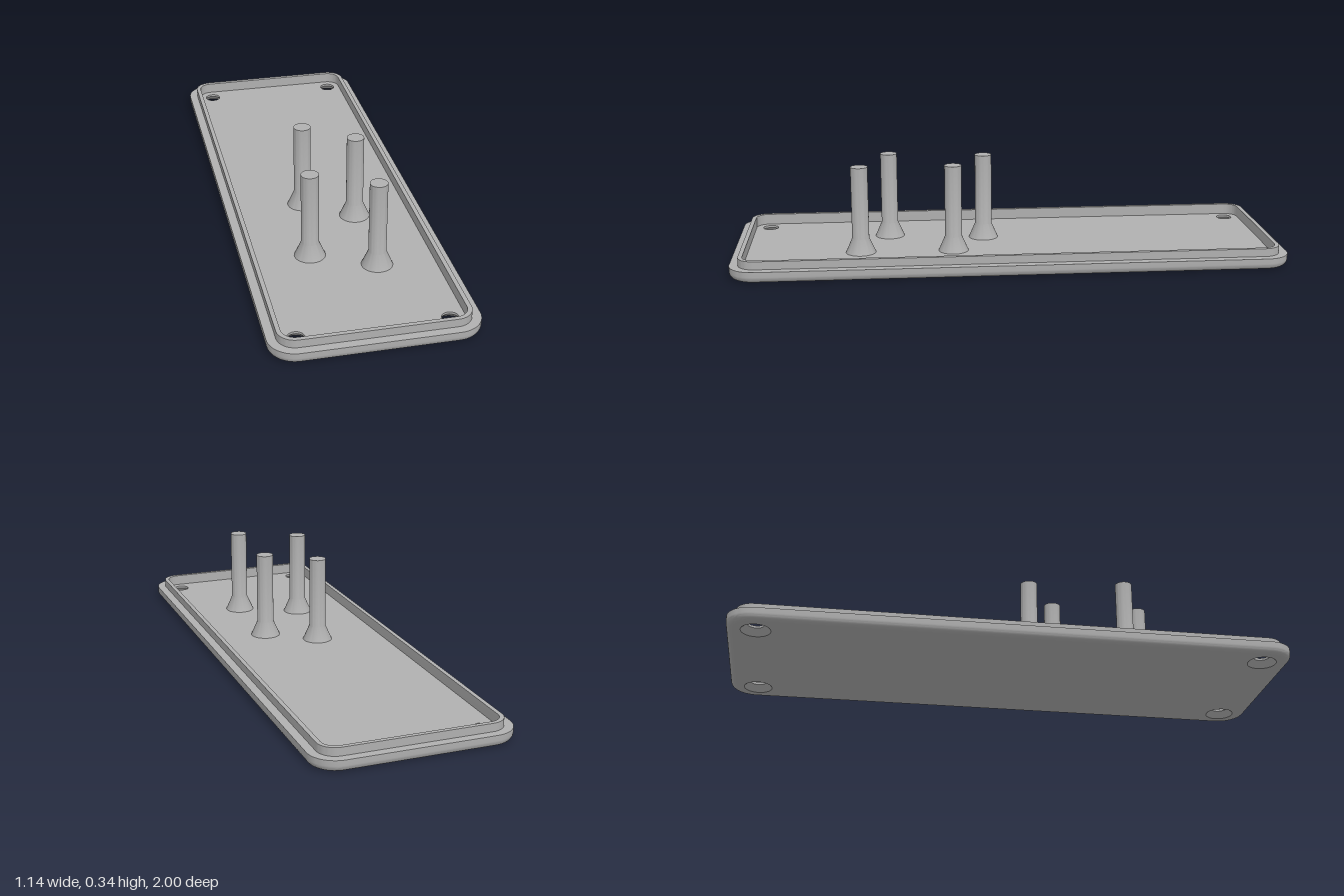
import * as THREE from 'three';
import { toCreasedNormals } from 'three/addons/utils/BufferGeometryUtils.js';

const A = 0.25, B = 0.875, R = 0.09;      // corner centres and outer corner radius
const HOLE_X = 0.246, HOLE_Z = 0.867;     // screw hole centres
const FLOOR = 0.03, RIM = 0.068, LEDGE = 0.04;
const TILT = -THREE.MathUtils.degToRad(15.9);
const CORNERS = [[1, 1], [-1, 1], [-1, -1], [1, -1]];

// Rounded rectangle outline, pulled inwards by inset
function outline(inset, steps = 12) {
  const pts = [];
  CORNERS.forEach(([sx, sz], k) => {
    for (let i = 0; i <= steps; i++) {
      const t = (k + i / steps) * Math.PI / 2;
      pts.push(new THREE.Vector2(sx * A + (R - inset) * Math.cos(t), sz * B + (R - inset) * Math.sin(t)));
    }
  });
  return pts;
}

// Sweep a profile of [inset, height] pairs around the outline
function sweep(profile) {
  const pos = [], index = [];
  const loops = profile.map(([inset]) => outline(inset));
  const n = loops[0].length;
  loops.forEach((loop, j) => loop.forEach(p => pos.push(p.x, profile[j][1], p.y)));
  for (let j = 0; j < loops.length - 1; j++) {
    for (let i = 0; i < n; i++) {
      const a = j * n + i, b = j * n + (i + 1) % n;
      index.push(a, a + n, b, b, a + n, b + n);
    }
  }
  const geo = new THREE.BufferGeometry();
  geo.setAttribute('position', new THREE.Float32BufferAttribute(pos, 3));
  geo.setIndex(index);
  return toCreasedNormals(geo, 0.5);
}

// Flat sheet with four round holes, facing up or down
function sheet(inset, holeRadius, y, up) {
  const shape = new THREE.Shape(outline(inset));
  for (const [sx, sz] of CORNERS) {
    const hole = new THREE.Path();
    hole.absarc(sx * HOLE_X, sz * HOLE_Z, holeRadius, 0, Math.PI * 2, true);
    shape.holes.push(hole);
  }
  return new THREE.ShapeGeometry(shape, 16).rotateX(up ? -Math.PI / 2 : Math.PI / 2).translate(0, y, 0);
}

function lathe(points) {
  const pts = points.map(([r, y]) => new THREE.Vector2(r, y));
  return toCreasedNormals(new THREE.LatheGeometry(pts, 32), 0.5);
}

export function createModel() {
  const model = new THREE.Group();
  model.name = 'coverPlate';
  const grey = new THREE.MeshStandardMaterial({ color: 0xb0b0b0 });
  grey.name = 'grey';

  const add = (parent, name, geo, x = 0, z = 0) => {
    const mesh = new THREE.Mesh(geo, grey);
    mesh.name = name;
    mesh.position.set(x, 0, z);
    parent.add(mesh);
  };

  // Plate, turned on its vertical axis
  const plate = new THREE.Group();
  plate.name = 'plate';
  plate.rotation.y = TILT;
  model.add(plate);

  // Rounded lower edge, ledge and raised lip
  const fillet = 0.022, profile = [];
  for (let i = 0; i <= 6; i++) {
    const t = i / 6 * Math.PI / 2;
    profile.push([fillet * (1 - Math.sin(t)), fillet * (1 - Math.cos(t))]);
  }
  profile.push([0, LEDGE], [0.03, LEDGE], [0.03, RIM], [0.045, RIM], [0.045, FLOOR]);
  add(plate, 'edgeAndLip', sweep(profile));

  // Floor and underside
  add(plate, 'floor', sheet(0.045, 0.028, FLOOR, true));
  add(plate, 'underside', sheet(fillet, 0.05, 0, false));

  // Countersunk screw holes
  const sink = lathe([[0.028, FLOOR], [0.028, 0.022], [0.05, 0]]);
  for (const [sx, sz] of CORNERS) add(plate, 'screwHole', sink, sx * HOLE_X, sz * HOLE_Z);

  // Four posts with flared feet
  const post = lathe([[0.053, FLOOR], [0.03, 0.083], [0.03, 0.338], [0, 0.338]]);
  for (const [x, z] of [[-0.08, 0.06], [0.045, 0.217], [-0.217, 0.375], [-0.047, 0.53]]) {
    add(model, 'post', post, x, z);
  }
  return model;
}
